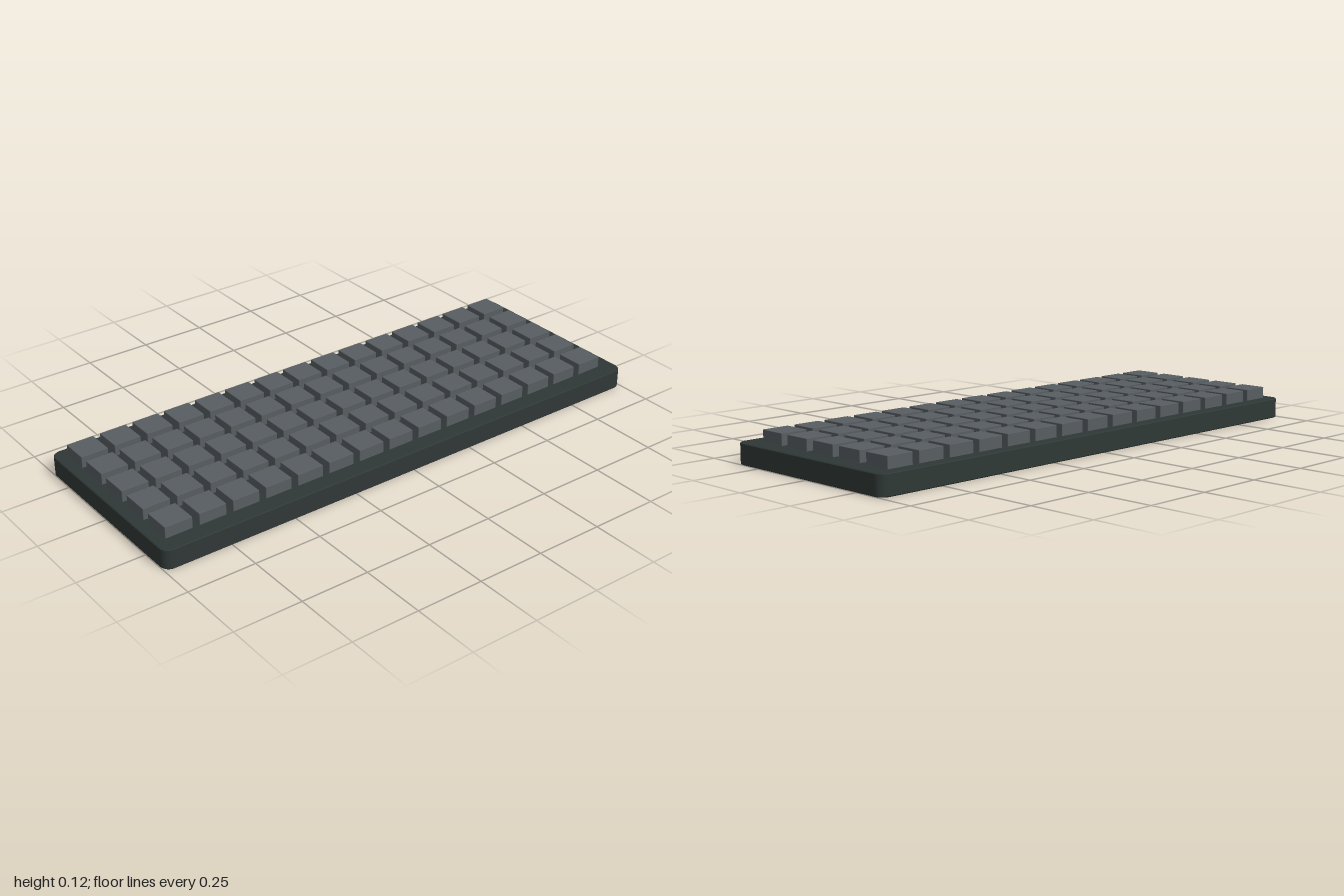
import * as THREE from 'three';
import { RoundedBoxGeometry } from 'three/addons/geometries/RoundedBoxGeometry.js';

const CASE = { width: 2, depth: 0.742, height: 0.074, radius: 0.035, bevel: 0.003 };
const KEYS = { columns: 15, rows: 5, size: 0.102, pitchX: 0.128, pitchZ: 0.1325, x: -0.01, z: -0.0095 };
const KEY_BASE = 0.07, KEY_TOP = 0.116;

// Rectangle outline with rounded corners, centred on the origin
function roundedRect(w, d, r) {
  const s = new THREE.Shape(), x = w / 2, y = d / 2;
  s.moveTo(-x + r, -y);
  s.lineTo(x - r, -y);
  s.absarc(x - r, -y + r, r, -Math.PI / 2, 0);
  s.lineTo(x, y - r);
  s.absarc(x - r, y - r, r, 0, Math.PI / 2);
  s.lineTo(-x + r, y);
  s.absarc(-x + r, y - r, r, Math.PI / 2, Math.PI);
  s.lineTo(-x, -y + r);
  s.absarc(-x + r, -y + r, r, Math.PI, Math.PI * 1.5);
  return s;
}

export function createModel() {
  const caseMaterial = new THREE.MeshStandardMaterial({ color: 0x2f3836 });
  caseMaterial.name = 'dark case';
  const keyMaterial = new THREE.MeshStandardMaterial({ color: 0x575d61 });
  keyMaterial.name = 'grey keycap';

  const model = new THREE.Group();
  model.name = 'keyboard';

  // Case: flat slab with rounded corners and a fine edge bevel
  const { width, depth, height, radius, bevel } = CASE;
  const outline = roundedRect(width - 2 * bevel, depth - 2 * bevel, radius - bevel);
  const slab = new THREE.ExtrudeGeometry(outline, {
    depth: height - 2 * bevel, bevelEnabled: true, bevelSize: bevel,
    bevelThickness: bevel, bevelSegments: 1, curveSegments: 6,
  });
  slab.rotateX(-Math.PI / 2);
  slab.translate(0, bevel, 0);
  const body = new THREE.Mesh(slab, caseMaterial);
  body.name = 'case';
  model.add(body);

  // Keycaps: a regular grid seated slightly into the case
  const keys = new THREE.Group();
  keys.name = 'keys';
  const cap = new RoundedBoxGeometry(KEYS.size, KEY_TOP - KEY_BASE, KEYS.size, 1, 0.002);
  for (let row = 0; row < KEYS.rows; row++) {
    for (let col = 0; col < KEYS.columns; col++) {
      const key = new THREE.Mesh(cap, keyMaterial);
      key.name = `keyRow${row + 1}Column${col + 1}`;
      key.position.set(
        KEYS.x + (col - (KEYS.columns - 1) / 2) * KEYS.pitchX,
        (KEY_BASE + KEY_TOP) / 2,
        KEYS.z + (row - (KEYS.rows - 1) / 2) * KEYS.pitchZ,
      );
      keys.add(key);
    }
  }
  model.add(keys);
  return model;
}
